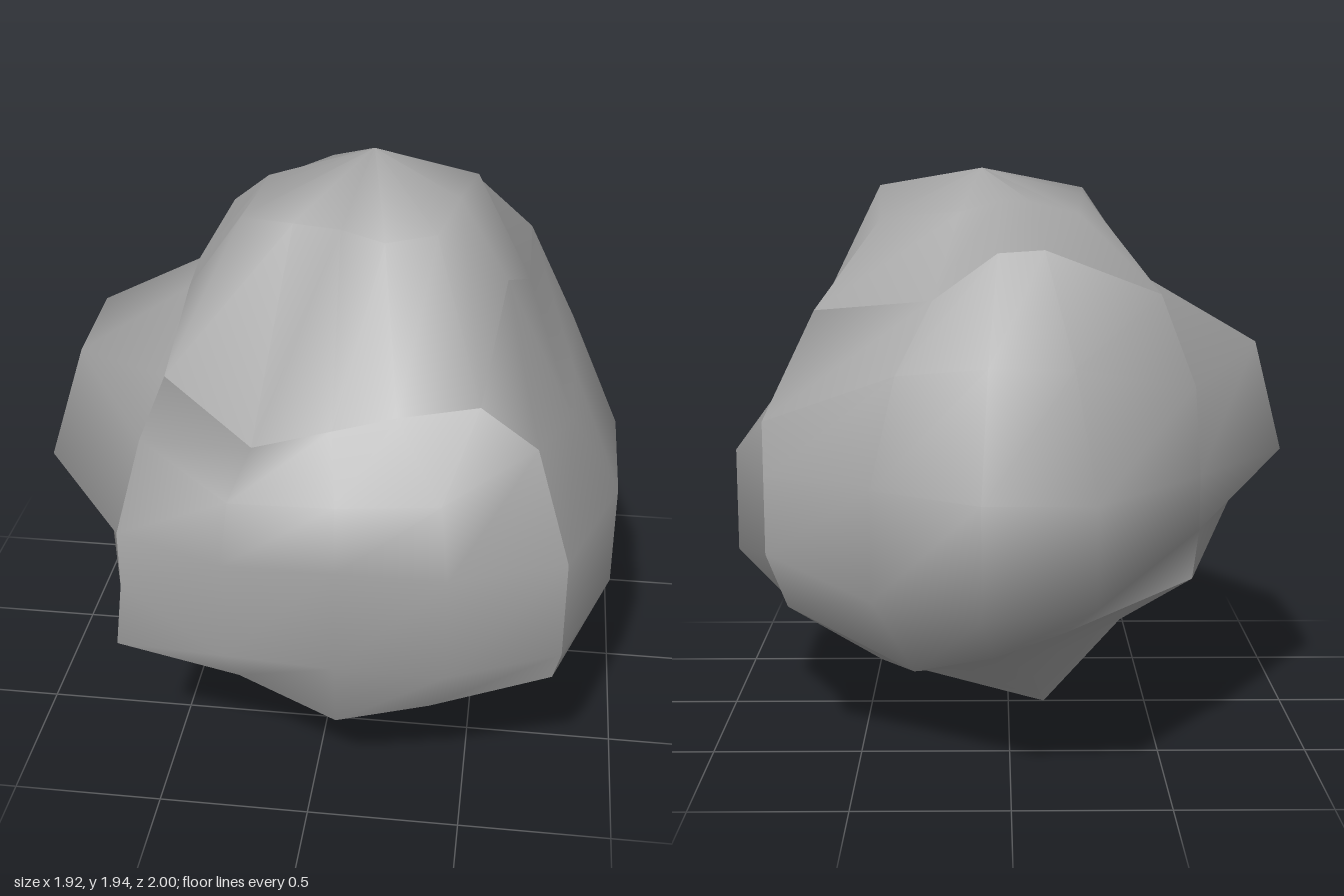
import * as THREE from 'three';

// Widest outline of the boulder (x, z), from front left round by the model's left (+x) side
const OUTLINE = [
  [-0.26, 1], [0.09, 1], [0.44, 1], [0.8, 0.86], [0.96, 0.39], [0.96, -0.08], [0.8, -0.55],
  [0.44, -0.77], [0.09, -1], [-0.26, -1], [-0.62, -0.55], [-0.96, -0.08], [-0.96, 0.39], [-0.62, 0.86],
];
const N = OUTLINE.length;
const ALL = [...OUTLINE.keys()];

const pick = (v, i) => (Array.isArray(v) ? v[i] : v);

// Ring of points: scale of the outline and height per column, optionally narrowed in x
const ring = (s, y, narrow = 1) =>
  OUTLINE.map(([x, z], i) => [x * pick(s, i) * narrow, pick(y, i), z * pick(s, i)]);

// Rings that bound and shape the stone, from the underside up
const underside = ring(
  [0.42, 0.42, 0.42, 0.6, 0.6, 0.55, 0.55, 0.35, 0.24, 0.26, 0.5, 0.52, 0.53, 0.6],
  [0.26, 0.24, 0.24, 0.28, 0.29, 0.26, 0.26, 0.22, 0.2, 0.22, 0.35, 0.43, 0.43, 0.42]);
const lowerEdge = ring(
  [0.9, 0.87, 0.88, 0.97, 0.84, 0.84, 0.92, 0.72, 0.6, 0.68, 0.97, 0.66, 0.67, 1.03],
  [0.47, 0.29, 0.39, 0.51, 0.44, 0.43, 0.51, 0.3, 0.36, 0.47, 0.61, 0.63, 0.62, 0.55]);
const belly = ring(
  [1, 1, 1, 1, 1, 1, 1, 1, 1, 1, 1, 0.83, 0.83, 1],
  [0.62, 0.6, 0.6, 0.62, 0.6, 0.6, 0.7, 0.6, 0.6, 0.64, 0.78, 0.8, 0.8, 0.76]);
const girth = ring(1, 0.96);
const shoulder = ring(
  [0.94, 0.93, 0.93, 0.86, 0.83, 0.83, 1, 0.83, 0.77, 0.77, 0.97, 0.9, 0.88, 0.89],
  [1.15, 1.15, 1.18, 1.29, 1.18, 1.18, 1.14, 1.3, 1.34, 1.34, 1.25, 1.34, 1.34, 1.25]);
const upperEdge = ring(
  [0.87, 0.74, 0.74, 0.81, 0.75, 0.84, 1, 0.72, 0.55, 0.55, 1, 0.69, 0.65, 0.93],
  [1.31, 1.31, 1.37, 1.4, 1.65, 1.5, 1.5, 1.53, 1.68, 1.69, 1.55, 1.52, 1.55, 1.5], 0.78);
const crown = ring(
  [0.42, 0.38, 0.4, 0.42, 0.41, 0.46, 0.53, 0.36, 0.28, 0.3, 0.38, 0.27, 0.27, 0.45],
  [1.86, 1.83, 1.8, 1.82, 1.87, 1.88, 1.78, 1.8, 1.84, 1.83, 1.79, 1.85, 1.86, 1.86]);
const base = ring(0, 0).map(() => [-0.13, 0, 0]);
const peak = ring(0, 0).map(() => [0.09, 1.94, -0.08]);

// One smooth face: a skin over some columns of consecutive rings; closed faces wrap round
function skin(rings, columns, closed) {
  const w = columns.length;
  const index = [];
  const add = (a, b, c, d) => index.push(a, b, c, a, c, d);
  for (let r = 0; r < rings.length - 1; r++) {
    for (let i = 0; i < (closed ? w : w - 1); i++) {
      const j = (i + 1) % w;
      add(r * w + i, r * w + j, (r + 1) * w + j, (r + 1) * w + i);
    }
  }
  const points = rings.flatMap((points) => columns.map((c) => points[c])).flat();
  const geo = new THREE.BufferGeometry();
  geo.setAttribute('position', new THREE.Float32BufferAttribute(points, 3));
  geo.setIndex(index);
  geo.computeVertexNormals();
  return geo;
}

export function createModel() {
  const stone = new THREE.MeshStandardMaterial({ color: 0xa2a2a2 });
  stone.name = 'grey stone';

  const group = new THREE.Group();
  group.name = 'rock';
  const addFace = (name, geometry) => {
    const mesh = new THREE.Mesh(geometry, stone);
    mesh.name = name;
    group.add(mesh);
  };

  // Four worn sides meeting at sharp breaks
  const walls = [lowerEdge, belly, girth, shoulder, upperEdge];
  const sides = { frontFace: [13, 17], leftFace: [3, 6], backFace: [6, 10], rightFace: [10, 13] };
  for (const [name, [from, to]] of Object.entries(sides)) {
    const columns = Array.from({ length: to - from + 1 }, (_, i) => (from + i) % N);
    addFace(name, skin(walls, columns, false));
  }

  // Rounded cap and pointed underside
  addFace('topFace', skin([upperEdge, crown, peak], ALL, true));
  addFace('bottomFace', skin([base, underside, lowerEdge], ALL, true));
  return group;
}
